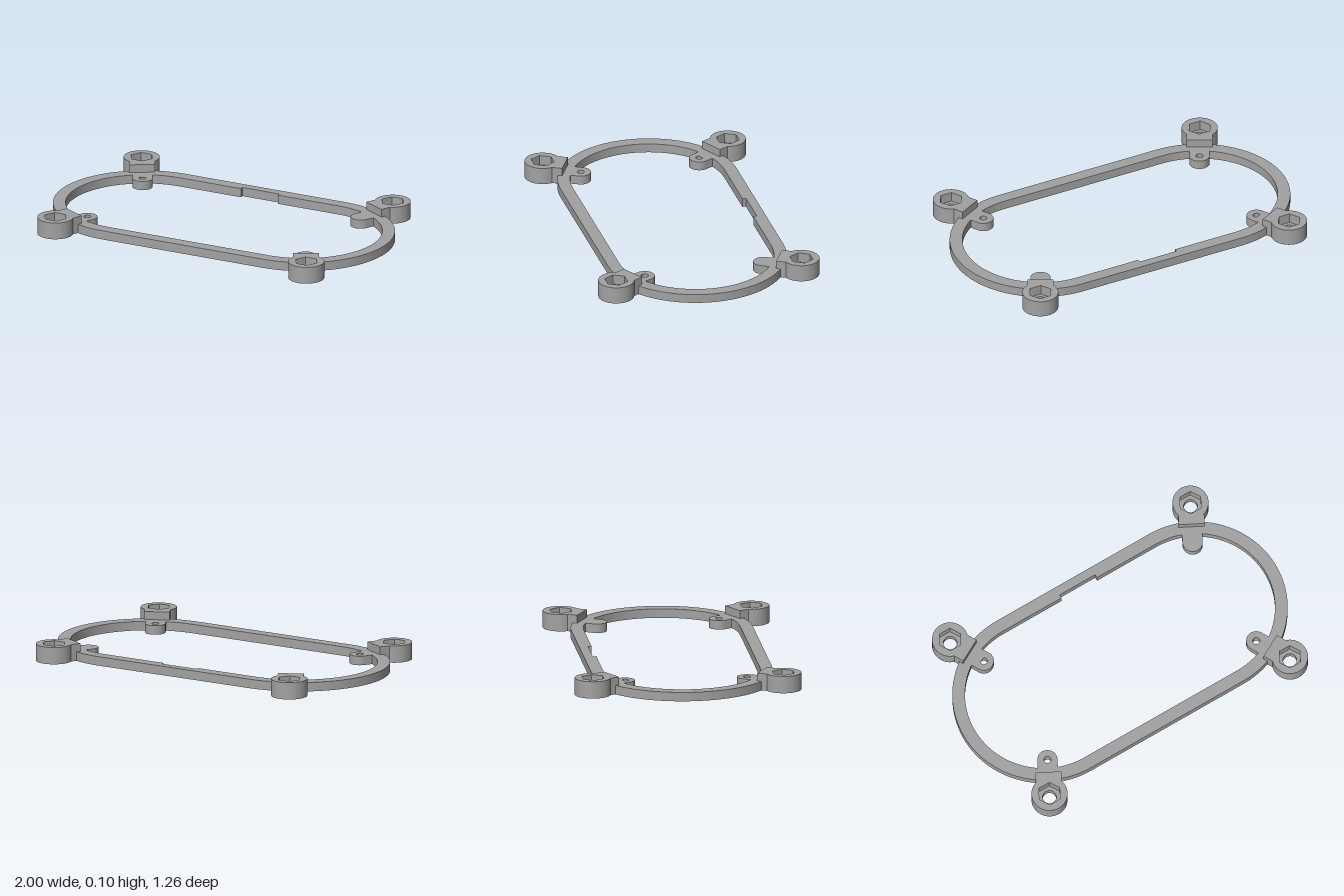
import * as THREE from 'three';
import { toCreasedNormals } from 'three/addons/utils/BufferGeometryUtils.js';

const RING_H = 0.051, BOSS_H = 0.096, POCKET_FLOOR = 0.04;
const END_X = 0.495, R_OUT = 0.505, R_IN = 0.435;

// Extrude a plan shape (x, -z) upward from y0 to y1
function slab(name, shape, y0, y1, material) {
  let geo = new THREE.ExtrudeGeometry(shape, { depth: y1 - y0, bevelEnabled: false, curveSegments: 32 });
  geo.rotateX(-Math.PI / 2);
  geo.translate(0, y0, 0);
  geo = toCreasedNormals(geo, 0.5);
  const mesh = new THREE.Mesh(geo, material);
  mesh.name = name;
  return mesh;
}

// Stadium outline, optionally with a shallow notch in its back edge
function stadium(path, r, notch) {
  path.moveTo(-END_X, -r);
  path.lineTo(END_X, -r);
  path.absarc(END_X, 0, r, -Math.PI / 2, Math.PI / 2, false);
  if (notch) {
    path.lineTo(0.115, r);
    path.lineTo(0.115, r + 0.02);
    path.lineTo(-0.115, r + 0.02);
    path.lineTo(-0.115, r);
  }
  path.lineTo(-END_X, r);
  path.absarc(-END_X, 0, r, Math.PI / 2, Math.PI * 1.5, false);
  return path;
}

function circleHole(c, r) {
  return new THREE.Path().absarc(c.x, c.y, r, 0, Math.PI * 2, true);
}

function hexHole(c, r) {
  const pts = [];
  for (let i = 0; i < 6; i++) {
    const t = -i * Math.PI / 3;
    pts.push(new THREE.Vector2(c.x + r * Math.cos(t), c.y + r * Math.sin(t)));
  }
  return new THREE.Path(pts);
}

// Round pad with a straight tongue running in direction a
function tonguePad(c, r, halfWidth, length, a) {
  const t = Math.asin(halfWidth / r);
  const s = new THREE.Shape();
  s.absarc(c.x, c.y, r, a + t, a - t + Math.PI * 2, false);
  for (const v of [-halfWidth, halfWidth]) {
    s.lineTo(c.x + length * Math.cos(a) - v * Math.sin(a), c.y + length * Math.sin(a) + v * Math.cos(a));
  }
  s.closePath();
  return s;
}

export function createModel() {
  const model = new THREE.Group();
  model.name = 'mountingFrame';
  const grey = new THREE.MeshStandardMaterial({ color: 0xa2a2a2 });
  grey.name = 'grey';

  // Open frame with a notch inside the back rail
  const ring = stadium(new THREE.Shape(), R_OUT, false);
  ring.holes.push(stadium(new THREE.Path(), R_IN, true));
  model.add(slab('frameRing', ring, 0, RING_H, grey));

  for (const sx of [-1, 1]) {
    for (const sy of [-1, 1]) {
      const corner = new THREE.Group();
      corner.name = (sy > 0 ? 'back' : 'front') + (sx > 0 ? 'Left' : 'Right') + 'Mount';
      const boss = new THREE.Vector2(sx * 0.778, sy * 0.531);
      const ear = new THREE.Vector2(sx * 0.676, sy * 0.34);
      const a = Math.atan2(ear.y - boss.y, ear.x - boss.x);

      // Outer boss: bolt hole below, hexagonal nut pocket above
      const base = tonguePad(boss, 0.1, 0.072, 0.127, a);
      base.holes.push(circleHole(boss, 0.038));
      corner.add(slab('bossBase', base, 0, POCKET_FLOOR, grey));
      const top = tonguePad(boss, 0.1, 0.072, 0.127, a);
      top.holes.push(hexHole(boss, 0.066));
      corner.add(slab('bossNutPocket', top, POCKET_FLOOR, BOSS_H, grey));

      // Inner ear with a small screw hole
      const tab = tonguePad(ear, 0.056, 0.0559, 0.11, a + Math.PI);
      tab.holes.push(circleHole(ear, 0.02));
      corner.add(slab('innerEar', tab, 0, RING_H, grey));
      model.add(corner);
    }
  }
  return model;
}
